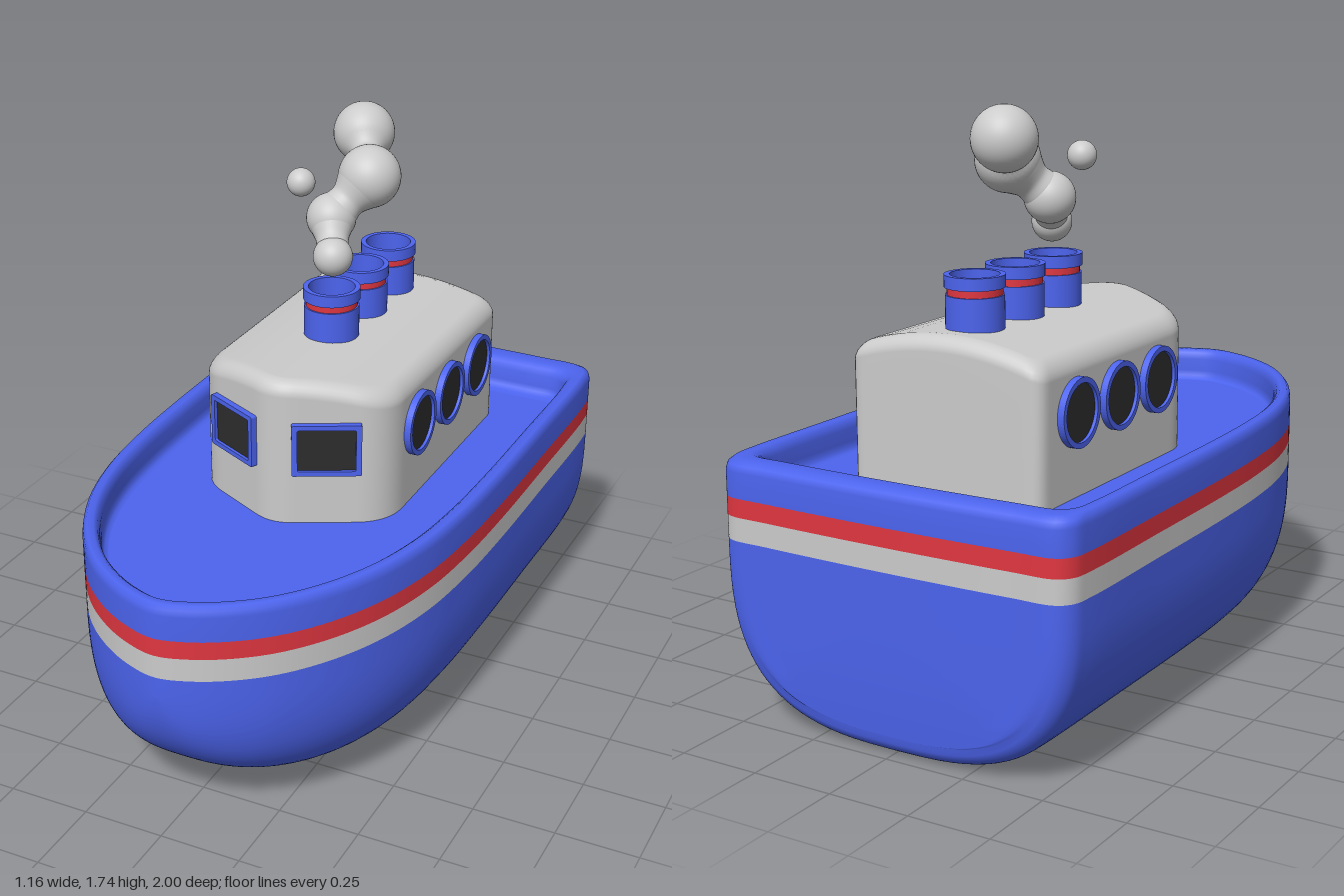
import * as THREE from 'three';
import { mergeVertices } from 'three/addons/utils/BufferGeometryUtils.js';

const paint = (color) => new THREE.MeshStandardMaterial({ color, side: THREE.DoubleSide });
const grey = paint(0xcccccc);
const blue = paint(0x4c64ee);
const red = paint(0xe03640);
const dark = paint(0x2d2d2d);

function add(parent, name, geometry, material) {
  const mesh = new THREE.Mesh(geometry, material);
  mesh.name = name;
  parent.add(mesh);
  return mesh;
}

// Smooth skin through closed rings of [x, y, z] points, listed outside-bottom first
function loft(rings) {
  const n = rings[0].length, index = [];
  for (let j = 0; j < rings.length - 1; j++) {
    for (let i = 0; i < n; i++) {
      const a = j * n + i, b = j * n + (i + 1) % n;
      index.push(a, b, b + n, a, b + n, a + n);
    }
  }
  const g = new THREE.BufferGeometry();
  g.setAttribute('position', new THREE.Float32BufferAttribute(rings.flat(2), 3));
  g.setIndex(index);
  const welded = mergeVertices(g, 1e-5);
  welded.computeVertexNormals();
  return welded;
}

// Hull plan, bow to stern on one side, then mirrored into a closed loop
function hullOutline() {
  const half = [[0, 0.998], [0.1, 0.972], [0.2, 0.918], [0.3, 0.835], [0.4, 0.705], [0.48, 0.545], [0.535, 0.35],
    [0.562, 0.13], [0.573, -0.12], [0.576, -0.5], [0.576, -0.88], [0.566, -0.95], [0.53, -0.985], [0.4, -0.993], [0, -1]];
  const other = half.slice(1, -1).reverse().map(([x, z]) => [-x, z]);
  const pts = [...half, ...other].map(([x, z]) => new THREE.Vector3(x, 0, z));
  return new THREE.CatmullRomCurve3(pts, true, 'centripetal').getPoints(196).slice(0, -1);
}

// Height of the keel: sweeps up at the bow, small rounding at the stern
const BELT = 0.535;
function keel(z) {
  const t = THREE.MathUtils.clamp((z - 0.1) / 0.9, 0, 1);
  const s = THREE.MathUtils.clamp((-z - 0.925) / 0.06, 0, 1);
  return BELT * (1 - (1 - t ** 2.5) ** (1 / 2.5)) + 0.06 * (1 - Math.sqrt(1 - s * s));
}

function buildHull() {
  const hull = new THREE.Group();
  hull.name = 'hull';
  const outline = hullOutline();

  // Rounded lower body; the transom's crown fades out toward its bottom edge
  const rows = [];
  for (let j = 0; j <= 24; j++) {
    const a = (1 - j / 24) * Math.PI / 2;
    const cx = Math.abs(Math.cos(a)) ** (2 / 2.9), sy = Math.sin(a) ** (2 / 2.9);
    rows.push(outline.map((p) =>
      [p.x * cx, BELT - (BELT - keel(p.z)) * sy, Math.max(p.z, -1 + 0.015 * sy ** 3)]));
  }
  add(hull, 'lowerHull', loft(rows), blue);

  // Painted stripes
  const level = (y) => outline.map((p) => [p.x, y, p.z]);
  add(hull, 'lightStripe', loft([level(BELT), level(0.605)]), grey);
  add(hull, 'redStripe', loft([level(0.605), level(0.66)]), red);

  // Raised gunwale rolled over to the inside, with a fillet down to the deck
  const inset = (t, y) => outline.map((p) =>
    [p.x * (1 - 0.1 * t), y, THREE.MathUtils.lerp(p.z, 0.0275 + p.z * 0.9175, t)]);
  const rim = [[0, 0.66], [0, 0.735], [0.06, 0.754], [0.25, 0.766], [0.65, 0.766], [0.88, 0.756], [1, 0.735],
    [1, 0.695], [1.06, 0.678], [1.2, 0.668], [1.4, 0.665]];
  add(hull, 'gunwale', loft(rim.map(([t, y]) => inset(t, y))), blue);

  // Deck
  const edge = inset(1.4, 0.665);
  add(hull, 'deck', loft([edge, edge.map(([, y, z]) => [0, y, z])]), blue);
  return hull;
}

// Polygon of [x, y, corner radius] with softened corners
function roundedPolygon(corners) {
  const shape = new THREE.Shape();
  const v = corners.map(([x, y]) => new THREE.Vector2(x, y));
  v.forEach((p, i) => {
    const toward = (q) => p.clone().add(q.clone().sub(p).setLength(corners[i][2]));
    const a = toward(v[(i + v.length - 1) % v.length]), b = toward(v[(i + 1) % v.length]);
    if (i === 0) shape.moveTo(a.x, a.y); else shape.lineTo(a.x, a.y);
    shape.quadraticCurveTo(p.x, p.y, b.x, b.y);
  });
  shape.closePath();
  return shape;
}

// Frame with a hole plus a dark pane, facing +z
function makeWindow(name, outer, inner) {
  const win = new THREE.Group();
  win.name = name;
  const frame = outer.clone();
  frame.holes.push(inner);
  const opts = (depth) => ({ depth, bevelEnabled: false, curveSegments: 32 });
  add(win, 'frame', new THREE.ExtrudeGeometry(frame, opts(0.03)), blue);
  add(win, 'pane', new THREE.ExtrudeGeometry(inner, opts(0.02)), dark);
  return win;
}

const circle = (r) => new THREE.Shape().absarc(0, 0, r, 0, Math.PI * 2);
const rect = (w, h) => roundedPolygon([[-w, -h, 0.006], [w, -h, 0.006], [w, h, 0.006], [-w, h, 0.006]]);

function buildCabin() {
  const cabin = new THREE.Group();
  cabin.name = 'cabin';
  const plan = roundedPolygon([[0, 0.305, 0.07], [0.315, 0.145, 0.1], [0.315, -0.703, 0.045],
    [-0.315, -0.703, 0.045], [-0.315, 0.145, 0.1]]).getSpacedPoints(200).slice(0, -1);

  // Walls, rounded eaves and cambered roof
  const r = 0.045;
  const roof = (x) => 1.12 - 0.56 * x * x;
  const ring = (d, drop, sx = 1) => plan.map((p) => {
    const x = p.x * (1 - d / 0.315) * sx;
    return [x, roof(x) - drop, -0.2 + (p.y + 0.2) * (1 - d / 0.49)];
  });
  const rings = [plan.map((p) => [p.x, 0.655, p.y])];
  for (let i = 0; i <= 6; i++) {
    const a = i / 6 * Math.PI / 2;
    rings.push(ring(r * (1 - Math.cos(a)), r * (1 - Math.sin(a))));
  }
  for (const sx of [0.8, 0.6, 0.4, 0.2, 0]) rings.push(ring(r, 0, sx));
  add(cabin, 'cabinBody', loft(rings), grey);

  for (const side of [-1, 1]) {
    // Slanted front windows
    const front = makeWindow('frontWindow', rect(0.103, 0.082), rect(0.086, 0.067));
    front.position.set(side * 0.144, 0.912, 0.22);
    front.rotation.y = side * 0.47;
    cabin.add(front);
    // Portholes
    for (const z of [-0.055, -0.285, -0.515]) {
      const port = makeWindow('porthole', circle(0.1), circle(0.084));
      port.position.set(side * 0.306, 0.91, z);
      port.rotation.y = side * Math.PI / 2;
      cabin.add(port);
    }
  }
  return cabin;
}

// Straight-sided turned part with sharp edges: one lathe segment per pair of points
function turned(parent, name, profile, material) {
  for (let i = 0; i < profile.length - 1; i++) {
    const pts = [profile[i], profile[i + 1]].map(([x, y]) => new THREE.Vector2(x, y));
    add(parent, name, new THREE.LatheGeometry(pts, 40), material);
  }
}

function buildFunnel(z) {
  const funnel = new THREE.Group();
  funnel.name = 'funnel';
  turned(funnel, 'funnelBody', [[0.084, 1.06], [0.084, 1.213], [0.079, 1.213]], blue);
  turned(funnel, 'funnelBand', [[0.079, 1.213], [0.079, 1.234]], red);
  turned(funnel, 'funnelCap', [[0.079, 1.234], [0.087, 1.234], [0.087, 1.27], [0.071, 1.27], [0.071, 1.17], [0, 1.17]], blue);
  funnel.position.z = z;
  return funnel;
}

function buildSmoke() {
  const smoke = new THREE.Group();
  smoke.name = 'smoke';
  const puffs = [[0, 1.363, -0.122, 0.06], [-0.05, 1.448, -0.215, 0.076], [0.033, 1.562, -0.309, 0.096],
    [-0.06, 1.641, -0.471, 0.095], [-0.122, 1.568, -0.155, 0.043]];
  for (const [x, y, z, r] of puffs) {
    add(smoke, 'puff', new THREE.SphereGeometry(r, 40, 28), grey).position.set(x, y, z);
  }
  // Waisted necks joining the rising puffs
  [0.05, 0.058, 0.046].forEach((waist, i) => {
    const a = new THREE.Vector3(...puffs[i]), b = new THREE.Vector3(...puffs[i + 1]);
    const ra = puffs[i][3], rb = puffs[i + 1][3], len = a.distanceTo(b);
    const mid = (ra + len - rb) / 2;
    const profile = new THREE.SplineCurve([[ra * 0.8, ra * 0.6], [waist, mid], [rb * 0.8, len - rb * 0.6]]
      .map(([x, y]) => new THREE.Vector2(x, y))).getPoints(12);
    const neck = add(smoke, 'smokeNeck', new THREE.LatheGeometry(profile, 32), grey);
    neck.position.copy(a);
    neck.quaternion.setFromUnitVectors(new THREE.Vector3(0, 1, 0), b.sub(a).normalize());
  });
  return smoke;
}

export function createModel() {
  const boat = new THREE.Group();
  boat.name = 'steamboat';
  boat.add(buildHull(), buildCabin());
  for (const z of [-0.115, -0.325, -0.535]) boat.add(buildFunnel(z));
  boat.add(buildSmoke());
  return boat;
}
